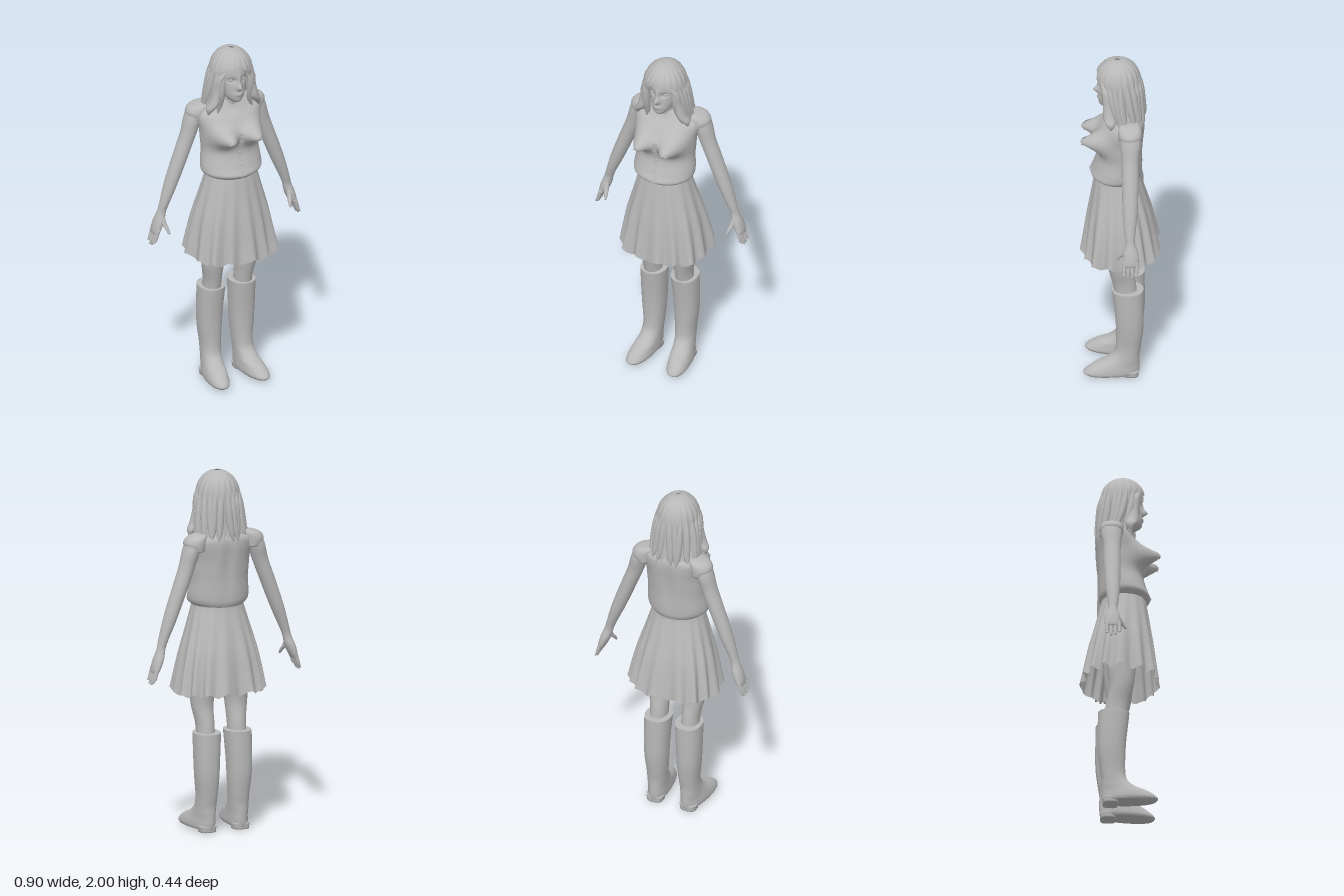
import * as THREE from 'three';

const material = new THREE.MeshStandardMaterial({ color: 0xb8b8b8, side: THREE.DoubleSide });
material.name = 'plain grey';

// Smooth grid surface; point(u, j) gives the corner in row j
function grid(point, nu, rows, closed) {
  const pos = [], idx = [], w = closed ? nu : nu + 1;
  for (let j = 0; j < rows; j++)
    for (let i = 0; i < w; i++) pos.push(...point(i / nu, j));
  for (let j = 0; j < rows - 1; j++)
    for (let i = 0; i < nu; i++) {
      const a = j * w + i, b = j * w + (i + 1) % w, c = a + w, d = b + w;
      idx.push(a, c, b, b, c, d);
    }
  const g = new THREE.BufferGeometry();
  g.setAttribute('position', new THREE.Float32BufferAttribute(pos, 3));
  g.setIndex(idx);
  g.computeVertexNormals();
  return g;
}

// Catmull-Rom sample of a list of rings [y, x0, x1, z0, z1]
function sample(rings, t) {
  const n = rings.length - 1, f = Math.min(t, 1) * n, i = Math.min(Math.floor(f), n - 1), s = f - i;
  const r = k => rings[Math.max(0, Math.min(n, k))];
  return rings[0].map((_, c) => {
    const a = r(i - 1)[c], b = r(i)[c], d = r(i + 1)[c], e = r(i + 2)[c];
    return b + 0.5 * s * (d - a + s * (2 * a - 5 * b + 4 * d - e + s * (3 * (b - d) + e - a)));
  });
}

// Point on a ring; angle 0 faces the front, n above 2 squares it off
function onRing([y, x0, x1, z0, z1], angle, k = 1, n = 2) {
  const p = v => Math.sign(v) * Math.abs(v) ** (2 / n);
  return [(x0 + x1) / 2 + k * p(Math.sin(angle)) * Math.abs(x1 - x0) / 2, y,
    (z0 + z1) / 2 + k * p(Math.cos(angle)) * (z1 - z0) / 2];
}

// Closed body through rings listed from top to bottom
function loft(rings, { seg = 24, sub = 4, n = 2, mod = p => p } = {}) {
  const steps = (rings.length - 1) * sub;
  return grid((u, j) => {
    const cap = j === 0 || j === steps + 2;
    const ring = sample(rings, Math.max(0, Math.min(steps, j - 1)) / steps);
    const p = onRing(ring, u * Math.PI * 2, cap ? 0 : 1, n);
    return cap ? p : mod(p);
  }, seg, steps + 3, true);
}

const bump = (x, y, cx, cy, sx, sy) => Math.exp(-(((x - cx) / sx) ** 2) - ((y - cy) / sy) ** 2);
const mirrored = (rings, s) => rings.map(([y, a, b, c, d]) => [y, s * a, s * b, c, d]);

const BLOUSE = [
  [1.69, -.065, .065, -.085, .045], [1.67, -.12, .12, -.105, .05], [1.64, -.185, .185, -.125, .065],
  [1.6, -.19, .19, -.13, .1], [1.53, -.175, .175, -.125, .13], [1.47, -.17, .17, -.12, .13],
  [1.4, -.165, .165, -.115, .128], [1.32, -.175, .172, -.113, .155], [1.28, -.172, .167, -.11, .172],
  [1.255, -.145, .14, -.1, .15]];
const HEAD = [
  [1.965, -.05, .05, -.05, .08], [1.93, -.078, .078, -.08, .11], [1.88, -.085, .085, -.09, .124],
  [1.83, -.083, .083, -.09, .122], [1.78, -.075, .075, -.08, .126], [1.74, -.06, .06, -.06, .128],
  [1.715, -.04, .04, -.03, .122], [1.7, -.025, .025, 0, .1]];
const HAIR = [
  [2, -.015, .015, .01, .04], [1.99, -.05, .05, -.035, .08], [1.955, -.09, .09, -.075, .12],
  [1.9, -.115, .115, -.098, .142], [1.82, -.122, .122, -.105, .13], [1.74, -.13, .13, -.11, .11],
  [1.67, -.14, .14, -.12, .085], [1.62, -.15, .15, -.125, .075]];
const SKIRT = [
  [1.28, -.14, .14, -.1, .145], [1.24, -.148, .148, -.1, .152], [1.12, -.18, .18, -.13, .17],
  [1, -.21, .212, -.16, .187], [.88, -.23, .235, -.182, .2], [.775, -.243, .25, -.2, .212]];
const ARM = [
  [1.66, .15, .19, -.08, -.02], [1.64, .14, .222, -.1, 0], [1.58, .15, .245, -.11, .005],
  [1.5, .175, .265, -.1, -.003], [1.4, .213, .3, -.1, -.007], [1.3, .252, .335, -.098, -.01],
  [1.2, .293, .367, -.095, -.015], [1.1, .338, .393, -.085, -.025], [1.05, .356, .406, -.083, -.032],
  [1, .368, .425, -.1, -.02], [.95, .39, .437, -.105, -.018], [.925, .405, .437, -.1, -.022]];
const LEG = [
  [1.12, .005, .15, -.08, .1], [.95, .01, .175, -.08, .095], [.8, .025, .17, -.07, .085],
  [.7, .04, .163, -.06, .072], [.6, .045, .145, -.078, .05], [.5, .045, .145, -.09, .03]];
const BOOT = [
  [.553, .018, .165, -.12, .052], [.53, .02, .166, -.12, .05], [.4, .028, .166, -.122, .036],
  [.3, .033, .162, -.12, .03], [.2, .04, .152, -.108, .03], [.145, .045, .152, -.1, .042],
  [.105, .048, .156, -.1, .085], [.078, .047, .16, -.1, .145], [.05, .045, .165, -.1, .188],
  [.028, .045, .166, -.098, .207], [.014, .052, .16, -.095, .195]];

// Bust and placket relief on the blouse
const bust = (x, y) => .1 * (bump(x, y, .085, 1.51, .058, .052) + bump(x, y, -.085, 1.51, .058, .052));
function blouseFront(x, y) {
  let i = BLOUSE.findIndex(r => r[0] <= y);
  i = Math.max(1, i);
  const f = (BLOUSE[i - 1][0] - y) / (BLOUSE[i - 1][0] - BLOUSE[i][0]);
  const [, x0, x1, z0, z1] = BLOUSE[i].map((v, c) => BLOUSE[i - 1][c] * (1 - f) + v * f);
  const q = Math.min(1, Math.abs(x * 2 / (x1 - x0)));
  return (z0 + z1) / 2 + Math.sqrt(1 - q * q) * (z1 - z0) / 2 + bust(x, y);
}
// Cloth patch laid over the blouse between four (x, y) corners
function patch(a, b, c, d, lift) {
  const mix = (p, q, t) => [p[0] + (q[0] - p[0]) * t, p[1] + (q[1] - p[1]) * t];
  return grid((u, j) => {
    const [x, y] = mix(mix(a, b, u), mix(d, c, u), j / 6);
    return [x, y, blouseFront(x, y) + lift];
  }, 8, 7, false);
}

export function createModel() {
  const model = new THREE.Group();
  const add = (name, geometry, ...at) => {
    const m = new THREE.Mesh(geometry, material);
    m.name = name;
    if (at.length) m.position.set(...at);
    model.add(m);
    return m;
  };

  // Head with nose, lips, chin and eye sockets
  add('head', loft(HEAD, {
    seg: 80, sub: 8, mod: ([x, y, z]) => z < .04 ? [x, y, z] : [x, y, z
      + .03 * bump(x, y, 0, 1.803, .014, .018) + .014 * bump(x, y, 0, 1.835, .011, .03)
      + .008 * bump(x, y, 0, 1.763, .025, .008) + .006 * bump(x, y, 0, 1.752, .022, .006)
      - .014 * (bump(x, y, .036, 1.84, .02, .013) + bump(x, y, -.036, 1.84, .02, .013))]
  }));
  add('neck', loft([[1.78, -.05, .05, -.07, .06], [1.7, -.05, .05, -.07, .055], [1.62, -.065, .065, -.08, .05]]));

  // Hair shell, open around the face, with a ragged hem
  const gap = y => y > 1.94 ? .02 : Math.min(.78, .02 + (1.94 - y) * 7);
  add('hair', grid((u, j) => {
    const jag = .93 + .05 * Math.sin(u * 61) + .03 * Math.sin(u * 143);
    const ring = sample(HAIR, j / 36 * jag), g = gap(ring[0]);
    const a = g + u * (Math.PI * 2 - 2 * g);
    return onRing(ring, a, 1 + .022 * Math.sin(a * 19 + j * .08) * Math.min(1, j / 10));
  }, 120, 37, false));
  // Loose locks lying over the shell
  for (let i = 0; i < 17; i++) {
    const a = .85 + i * (Math.PI * 2 - 1.7) / 16, drop = .03 * Math.sin(i * 2.3);
    const lock = [[.42, .003], [.55, .018], [.7, .022], [.84, .017], [.97 + drop, .003]].map(([t, w], k) => {
      const [x, y, z] = onRing(sample(HAIR, t), a + .05 * k * Math.sin(i * 1.7), k === 4 ? 1.05 : .98);
      return [y, x - w, x + w, z - w, z + w];
    });
    add('hairLock', loft(lock, { seg: 8 }));
  }

  // Blouse, placket and buttons
  add('blouse', loft(BLOUSE, {
    seg: 96, sub: 6, mod: ([x, y, z]) => [x, y, z > 0 ? z + bust(x, y) * Math.min(1, z / .06)
      : z + .012 * bump(x, y, 0, 1.5, .035, .15)]
  }));
  add('placket', patch([-.014, 1.53], [.014, 1.53], [.014, 1.28], [-.014, 1.28], .005));
  for (const y of [1.48, 1.41, 1.34, 1.29])
    add('button', new THREE.SphereGeometry(.006, 10, 8), 0, y, blouseFront(0, y) + .005);

  // Skirt with pleats that deepen toward an uneven hem
  add('skirt', grid((u, j) => {
    const a = u * Math.PI * 2, t = j / 30;
    const fold = Math.sin(a * 15 + .8 * Math.sin(a * 3)) * .06 + Math.sin(a * 7 + 1) * .025;
    const p = onRing(sample(SKIRT, t), a, 1 + fold * t ** 1.4, 2 + .5 * t);
    p[1] += t * t * (.012 * Math.sin(a * 15) - .008 * Math.cos(a));
    return p;
  }, 180, 31, true));

  for (const s of [1, -1]) {
    const side = s > 0 ? 'left' : 'right';
    add(side + 'Eye', new THREE.SphereGeometry(.012, 16, 12), s * .036, 1.84, .096);

    // Long front lock falling onto the chest
    add(side + 'FrontLock', loft(mirrored([[1.93, .03, .05, .1, .125], [1.86, .075, .11, .06, .11],
      [1.78, .088, .125, .04, .1], [1.71, .09, .145, .03, .1], [1.67, .12, .165, .03, .085],
      [1.635, .15, .155, .05, .06]], s), { seg: 12 }));

    // Collar and breast pocket flap
    add(side + 'Collar', patch([s * .045, 1.675], [s * .085, 1.655], [s * .035, 1.57], [0, 1.53], .008));
    add(side + 'PocketFlap', patch([s * .045, 1.525], [s * .14, 1.535], [s * .15, 1.5], [s * .05, 1.495], .009));
    add(side + 'PocketButton', new THREE.SphereGeometry(.006, 10, 8), s * .095, 1.505, blouseFront(.095, 1.505) + .01);

    // Cap sleeve
    add(side + 'Sleeve', loft(mirrored([[1.672, .1, .16, -.085, 0], [1.655, .1, .215, -.108, .012],
      [1.62, .11, .236, -.116, .016], [1.58, .12, .21, -.112, .014]], s)));

    // Arm, hand and fingers
    add(side + 'Arm', loft(mirrored(ARM, s)));
    [-.093, -.07, -.047, -.025].forEach((z, i) => {
      const tip = [.872, .86, .863, .88][i];
      add(side + 'Finger', loft(mirrored([[.955, .402, .428, z - .01, z + .01], [.92, .415, .437, z - .011, z + .011],
        [.89, .425, .445, z - .01, z + .01], [tip, .44, .45, z - .006, z + .006]], s), { seg: 10 }));
    });
    add(side + 'Thumb', loft(mirrored([[1.02, .372, .4, -.055, -.025], [.985, .367, .395, -.04, -.008],
      [.96, .363, .383, -.016, .01], [.937, .363, .375, .005, .02]], s), { seg: 10 }));

    // Leg, boot and heel
    add(side + 'Leg', loft(mirrored(LEG, s)));
    const splay = ([x, y, z]) => [x + s * .1 * z * Math.max(0, Math.min(1, (.16 - y) / .1)), y, z];
    add(side + 'Boot', loft(mirrored(BOOT, s), { seg: 40, sub: 5, n: 2.25, mod: splay }));
    add(side + 'BootHeel', loft(mirrored([[.035, .05, .15, -.096, -.005], [0, .055, .145, -.094, -.01]], s), { n: 3 }));
  }
  return model;
}
